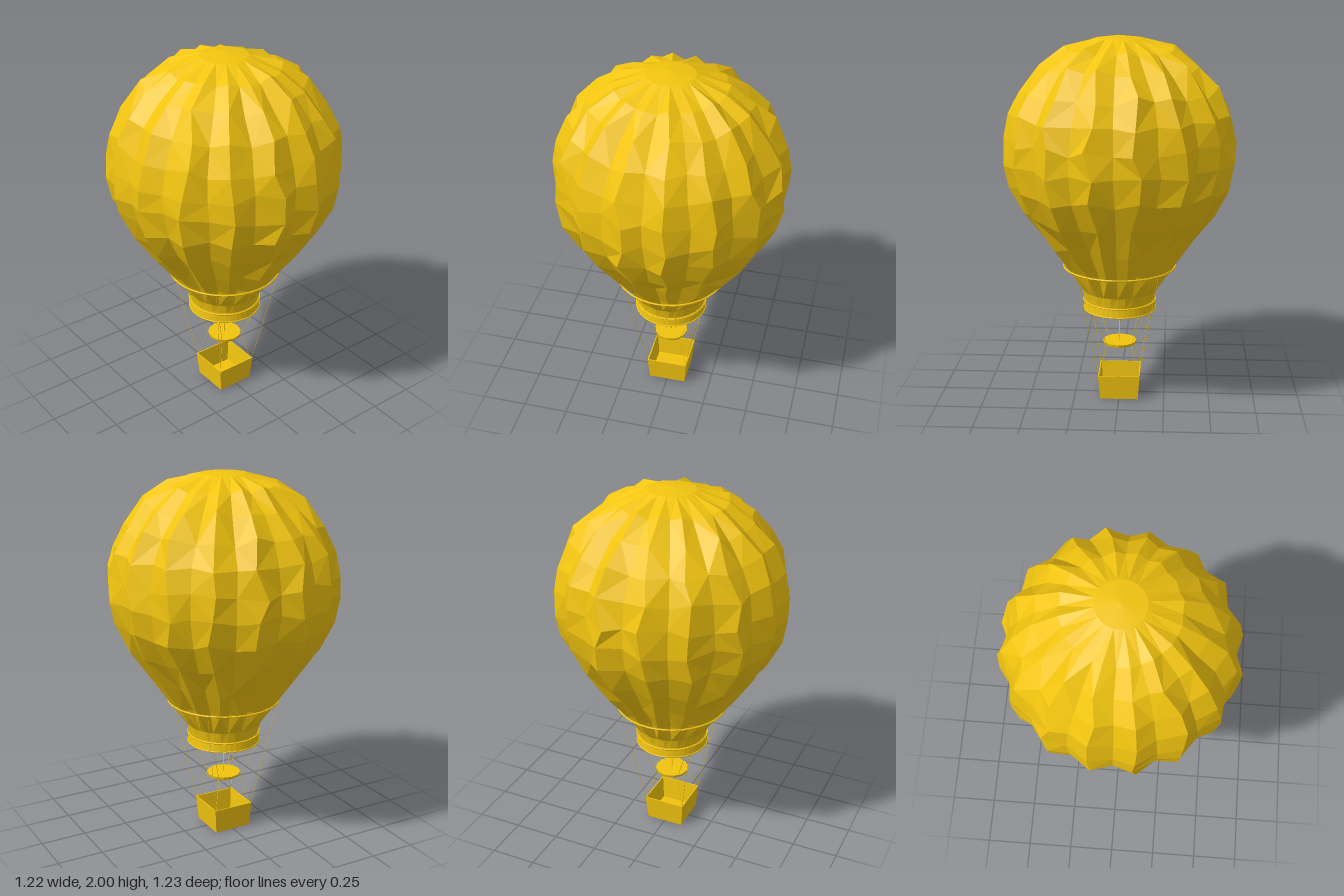
import * as THREE from 'three';

const gold = new THREE.MeshStandardMaterial({ color: 0xf1c40f, flatShading: true, side: THREE.DoubleSide });

function add(group, name, geometry, x = 0, y = 0, z = 0) {
  const mesh = new THREE.Mesh(geometry, gold);
  mesh.name = name;
  mesh.position.set(x, y, z);
  group.add(mesh);
  return mesh;
}

// Seeded noise in -1..1
function noiseMaker(seed) {
  let s = seed;
  return () => {
    s = (s * 16807) % 2147483647;
    return (s / 2147483647) * 2 - 1;
  };
}

// Sixteen bulging gores: even columns are seams, odd columns are crests
function envelopeGeometry() {
  // height, crest radius, seam depth, wobble
  const rings = [
    [0.56, 0.19, 0, 0], [0.62, 0.205, 0.02, 0], [0.75, 0.295, 0.12, 0.4],
    [0.9, 0.405, 0.11, 0.8], [1.06, 0.52, 0.09, 1], [1.21, 0.598, 0.075, 1],
    [1.34, 0.624, 0.065, 1], [1.47, 0.622, 0.065, 1], [1.6, 0.595, 0.065, 1],
    [1.73, 0.53, 0.06, 1], [1.85, 0.425, 0.05, 0.9], [1.94, 0.295, 0.03, 0.5],
    [1.985, 0.125, 0, 0],
  ];
  const columns = 32;
  const noise = noiseMaker(77);
  const positions = [], index = [];
  rings.forEach(([height, radius, depth, wobble]) => {
    for (let j = 0; j < columns; j++) {
      const seam = j % 2 === 0;
      const scale = 1 - (seam ? depth : 0) - Math.abs(noise()) * 0.012 * wobble;
      const angle = (j / columns) * Math.PI * 2 + noise() * (seam ? 0.012 : 0.05) * wobble;
      let y = height + noise() * 0.022 * wobble;
      if (y > 1.4) y = 1.4 + (y - 1.4) * scale;
      positions.push(Math.sin(angle) * radius * scale, y, Math.cos(angle) * radius * scale);
    }
  });
  for (let i = 0; i < rings.length - 1; i++) {
    for (let j = 0; j < columns; j++) {
      const k = (j + 1) % columns;
      const a = i * columns + j, b = i * columns + k;
      const d = a + columns, c = b + columns;
      if ((i + j) % 2) index.push(a, b, c, a, c, d);
      else index.push(a, b, d, b, c, d);
    }
  }
  // Crown cap
  const top = positions.length / 3;
  positions.push(0, 2, 0);
  const last = (rings.length - 1) * columns;
  for (let j = 0; j < columns; j++) index.push(last + j, last + ((j + 1) % columns), top);
  const geometry = new THREE.BufferGeometry();
  geometry.setAttribute('position', new THREE.Float32BufferAttribute(positions, 3));
  geometry.setIndex(index);
  geometry.computeVertexNormals();
  return geometry;
}

function hoop(radius, tube) {
  return new THREE.TorusGeometry(radius, tube, 6, 40).rotateX(Math.PI / 2);
}

function rope(from, to) {
  const path = new THREE.LineCurve3(new THREE.Vector3(...from), new THREE.Vector3(...to));
  return new THREE.TubeGeometry(path, 1, 0.0012, 4);
}

// Open square basket with thin walls, flaring towards the rim
function basketGeometry() {
  const s = Math.SQRT2;
  const profile = [[0, 0], [0.105, 0], [0.116, 0.138], [0.11, 0.138], [0.1, 0.006], [0, 0.006]];
  const points = profile.map(([r, y]) => new THREE.Vector2(r * s, y));
  return new THREE.LatheGeometry(points, 4, Math.PI / 4);
}

export function createModel() {
  const model = new THREE.Group();
  model.name = 'hotAirBalloon';

  add(model, 'envelope', envelopeGeometry());

  // Mouth and load hoops
  add(model, 'mouthBand', new THREE.CylinderGeometry(0.193, 0.198, 0.055, 40), 0, 0.534, 0);
  add(model, 'mouthUpperHoop', hoop(0.199, 0.004), 0, 0.56, 0);
  add(model, 'mouthLowerHoop', hoop(0.198, 0.004), 0, 0.51, 0);
  add(model, 'loadHoop', hoop(0.306, 0.005), 0, 0.755, 0);

  // Burner plate on its rod
  add(model, 'burnerPlate', new THREE.CylinderGeometry(0.094, 0.09, 0.016, 12), 0, 0.305, 0);
  add(model, 'burnerRod', new THREE.CylinderGeometry(0.003, 0.003, 0.2, 6), 0, 0.41, 0);

  add(model, 'basket', basketGeometry());

  // Ropes at each basket corner
  const ropes = new THREE.Group();
  ropes.name = 'ropes';
  for (const x of [-1, 1]) {
    for (const z of [-1, 1]) {
      add(ropes, 'outerRope', rope([x * 0.113, 0.138, z * 0.113], [x * 0.216, 0.755, z * 0.216]));
      add(ropes, 'innerRope', rope([x * 0.108, 0.138, z * 0.108], [x * 0.066, 0.305, z * 0.066]));
      add(ropes, 'mouthRope', rope([x * 0.066, 0.305, z * 0.066], [x * 0.139, 0.51, z * 0.139]));
    }
  }
  model.add(ropes);
  return model;
}
